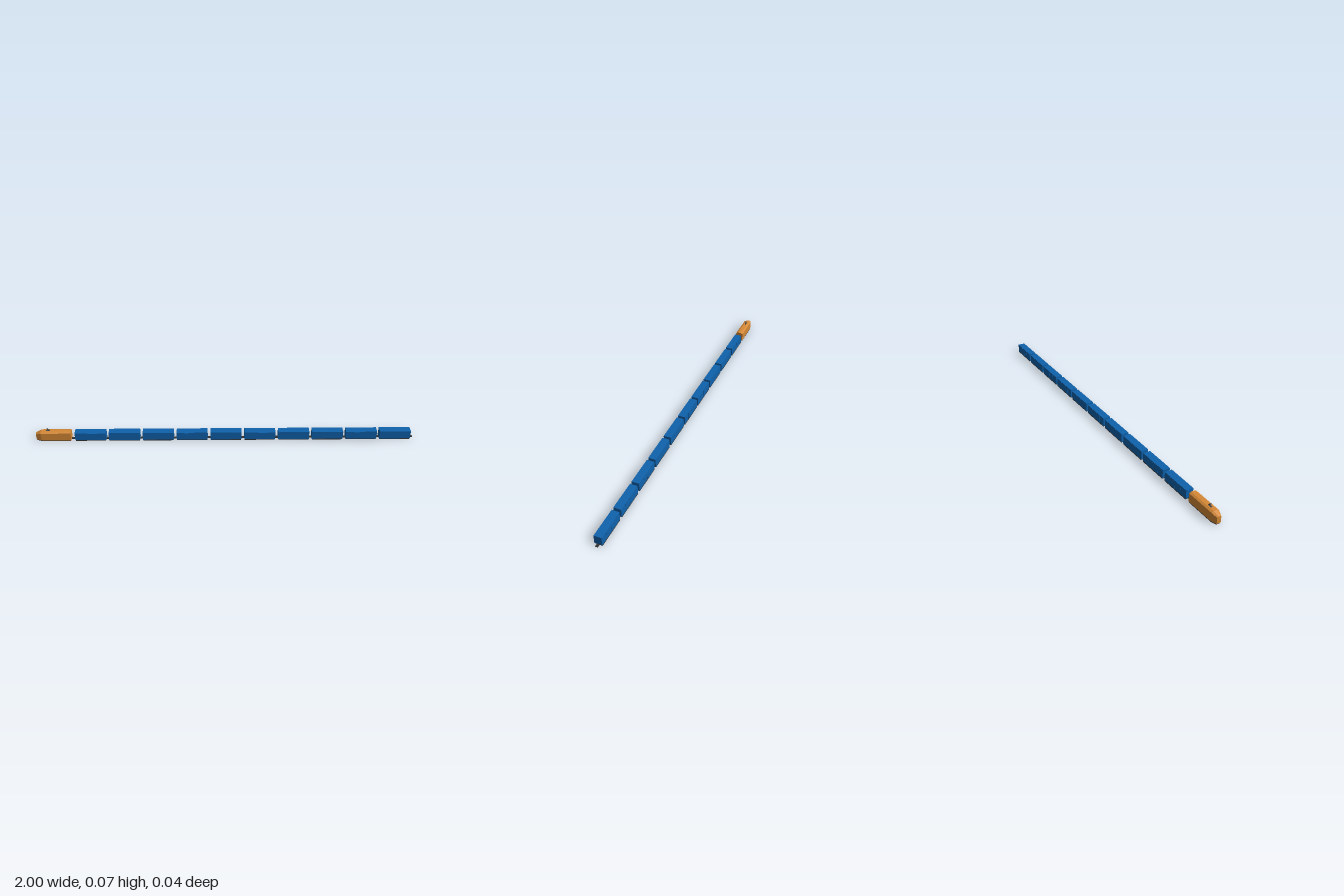
import * as THREE from 'three';

export function createModel() {
  const train = new THREE.Group();
  train.name = 'freightTrain';
  const mat = (name, color) => {
    const m = new THREE.MeshStandardMaterial({ color });
    m.name = name;
    return m;
  };
  const orange = mat('orange paint', 0xd58936);
  const blue = mat('blue paint', 0x0f62ac);
  const dark = mat('dark underframe', 0x333333);
  const grey = mat('pantograph grey', 0x4a4d50);

  function box(parent, name, m, sx, sy, sz, x, y, z) {
    const mesh = new THREE.Mesh(new THREE.BoxGeometry(sx, sy, sz), m);
    mesh.name = name;
    mesh.position.set(x, y, z);
    parent.add(mesh);
    return mesh;
  }

  // Loft through closed sections set along x; each section has the same point count
  function loft(sections) {
    const n = sections[0].length, pos = sections.flat(2), idx = [];
    for (let s = 0; s < sections.length - 1; s++) {
      for (let i = 0; i < n; i++) {
        const a = s * n + i, b = s * n + (i + 1) % n;
        idx.push(a, b, b + n, a, b + n, a + n);
      }
    }
    const last = (sections.length - 1) * n;
    for (let i = 1; i < n - 1; i++) {
      idx.push(0, i + 1, i, last, last + i, last + i + 1);
    }
    const g = new THREE.BufferGeometry();
    g.setAttribute('position', new THREE.Float32BufferAttribute(pos, 3));
    g.setIndex(idx);
    const flat = g.toNonIndexed();
    flat.computeVertexNormals();
    return flat;
  }

  // Locomotive: tapered nose, chamfered roof
  const loco = new THREE.Group();
  loco.name = 'locomotive';
  train.add(loco);
  const section = (x, w, shoulder, roof, base = 0.004) => [
    [x, base, -w], [x, shoulder, -w], [x, roof, -w * 0.5],
    [x, roof, w * 0.5], [x, shoulder, w], [x, base, w],
  ];
  const body = new THREE.Mesh(loft([
    section(-1, 0.011, 0.037, 0.041),
    section(-0.972, 0.02, 0.048, 0.0535),
    section(-0.815, 0.02, 0.048, 0.0535),
  ]), orange);
  body.name = 'locomotiveBody';
  loco.add(body);
  const frame = new THREE.Mesh(loft([
    section(-0.998, 0.0105, 0.003, 0.004, 0),
    section(-0.972, 0.0195, 0.003, 0.004, 0),
    section(-0.817, 0.0195, 0.003, 0.004, 0),
  ]), dark);
  frame.name = 'locomotiveFrame';
  loco.add(frame);

  // Pantograph: base, two folded arms and a contact bar
  const pantograph = new THREE.Group();
  pantograph.name = 'pantograph';
  loco.add(pantograph);
  box(pantograph, 'pantographBase', grey, 0.018, 0.002, 0.008, -0.937, 0.0545, 0);
  box(pantograph, 'lowerArm', grey, 0.016, 0.002, 0.006, -0.932, 0.0585, 0).rotation.z = -0.45;
  box(pantograph, 'upperArm', grey, 0.014, 0.002, 0.006, -0.933, 0.0615, 0).rotation.z = -0.6;
  box(pantograph, 'contactBar', grey, 0.004, 0.002, 0.008, -0.938, 0.066, 0);

  // Ten box wagons with doors, underframe and drawbar
  const length = 0.164, pitch = 0.1793, firstCentre = -0.712;
  box(train, 'locomotiveDrawbar', dark, 0.03, 0.004, 0.013, -0.804, 0.004, 0);
  for (let i = 0; i < 10; i++) {
    const wagon = new THREE.Group();
    wagon.name = 'wagon' + (i + 1);
    wagon.position.x = firstCentre + i * pitch;
    train.add(wagon);
    box(wagon, 'wagonBody', blue, length, 0.045, 0.039, 0, 0.0265, 0);
    box(wagon, 'wagonFrame', dark, length - 0.004, 0.004, 0.04, 0, 0.002, 0);
    box(wagon, 'drawbar', dark, 0.026, 0.004, 0.013, length / 2 + 0.003, 0.004, 0);
    for (const side of [-1, 1]) {
      for (const x of [-0.02, 0.02]) {
        box(wagon, 'slidingDoor', blue, 0.038, 0.04, 0.001, x, 0.0265, side * 0.0198);
      }
    }
  }
  return train;
}
